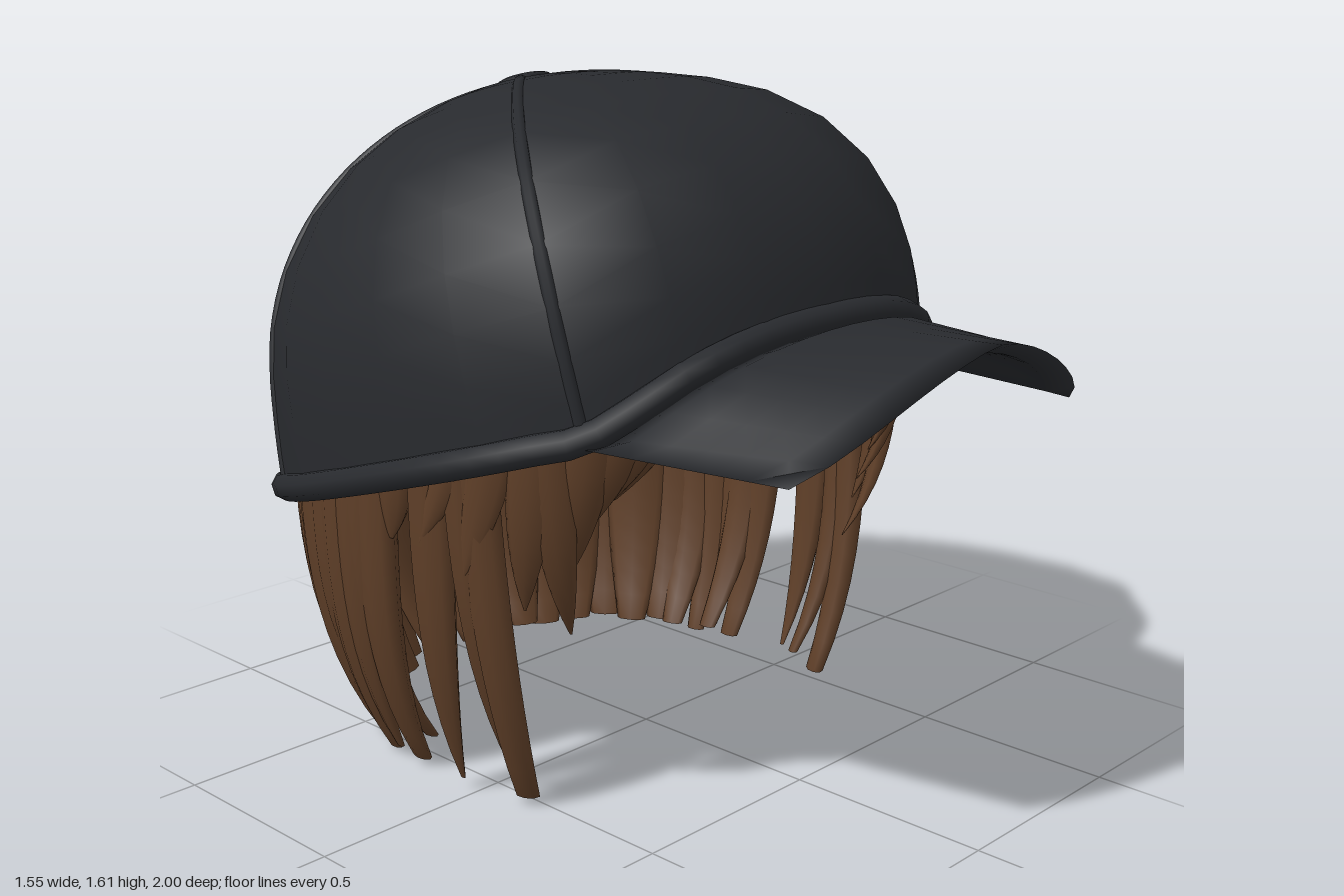
import * as THREE from 'three';
import { ParametricGeometry } from 'three/addons/geometries/ParametricGeometry.js';
import { mergeVertices } from 'three/addons/utils/BufferGeometryUtils.js';

const V = (x, y, z) => new THREE.Vector3(x, y, z);
const CENTER = V(0, 0.9, -0.2);
const BUTTON = V(0, 0.68, -0.22).normalize();
const capMat = new THREE.MeshStandardMaterial({ color: 0x282a2e, side: THREE.DoubleSide });
const hairMat = new THREE.MeshStandardMaterial({ color: 0x5f3f28, side: THREE.DoubleSide });

let seed = 7;
const rnd = () => (seed = (seed * 16807) % 2147483647) / 2147483647;

// Cap body rule: a rounded superellipsoid, fuller and higher at the front, nearly straight below the middle
function field(p) {
  const n = 2.05 + 0.55 * THREE.MathUtils.smoothstep(p.z, -0.3, 0.4);
  const y = p.y > 0 ? (p.y / (0.707 + 0.045 * p.z)) ** n : (p.y / 1.6) ** 2;
  return (Math.abs(p.x) / 0.75) ** n + (Math.abs(p.z) / (p.z > 0 ? 0.77 : 0.79)) ** n + y;
}

// Finds where a path of points leaves the cap body
function hit(pointAt) {
  let lo = 0, hi = 1.5;
  for (let i = 0; i < 30; i++) {
    const mid = (lo + hi) / 2;
    if (field(pointAt(mid)) < 1) lo = mid; else hi = mid;
  }
  return pointAt(lo);
}

// Lower edge of the cap; angle 0 is the front, growing towards +x (relative to CENTER)
const rimHeight = z => 0.93 + (z - 0.41) * (z < 0.41 ? 0.3 : 1.25);
const rim = a => hit(t => {
  const z = Math.cos(a) * t;
  return V(Math.sin(a) * t, rimHeight(z + CENTER.z) - CENTER.y, z);
});

// Point on the cap, v = 0 at the button and 1 at the rim
function capPoint(a, v) {
  const d = BUTTON.clone().lerp(rim(a).normalize(), v).normalize();
  return hit(t => d.clone().multiplyScalar(t)).add(CENTER);
}

// Smooth surface from a rule, welded along its seams
function surface(rule, nu, nv) {
  const g = new ParametricGeometry((u, v, out) => out.copy(rule(u, v)), nu, nv);
  g.deleteAttribute('normal');
  g.deleteAttribute('uv');
  const welded = mergeVertices(g, 1e-5);
  welded.computeVertexNormals();
  return welded;
}

function add(parent, name, geometry, material) {
  const m = new THREE.Mesh(geometry, material);
  m.name = name;
  parent.add(m);
  return m;
}

// Visor: a closed thin cross-section swept from side to side, arched in the middle
function visorPoint(u, v) {
  const s = v * 2 - 1, a = Math.abs(s);
  const inner = rim(s * 0.86).multiplyScalar(0.98).add(CENTER);
  const outer = V(s * 0.5, 1.125 - 0.225 * a ** 1.6, 1 - 0.1 * a * a - 0.04 * a ** 8);
  const p = inner.lerp(outer, u <= 0.5 ? u * 2 : 2 - u * 2);
  if (u === 0 || u > 0.5) p.y -= 0.03 * Math.sqrt(1 - a ** 8);
  return p;
}

// One lock of hair hanging around the head, with an oval cross-section
function lock({ from, to = from, yTop, yBot, width, thick = 0.03, s0 = 0.93, s1 = 0.74, taper = 0.6 }) {
  const top = yTop ?? rim(from).y + CENTER.y + 0.04;
  const rows = 12;
  return surface((u, v) => {
    const t = Math.min(1, v * rows / (rows - 1));
    const a = THREE.MathUtils.lerp(from, to, t ** 1.3);
    const tangent = rim(a + 0.03).sub(rim(a - 0.03)).setY(0).normalize();
    const normal = V(-tangent.z, 0, tangent.x);
    const size = v >= 1 ? 0 : 1 - taper * t ** 2.5;
    const w = u * Math.PI * 2;
    return rim(a).setY(0).multiplyScalar(s0 + (s1 - s0) * t ** 3)
      .addScaledVector(tangent, Math.cos(w) * width / 2 * size)
      .addScaledVector(normal, Math.sin(w) * thick * size)
      .add(V(0, THREE.MathUtils.lerp(top, yBot, t), CENTER.z));
  }, 8, rows);
}

export function createModel() {
  seed = 7;
  const model = new THREE.Group();
  const cap = new THREE.Group();
  cap.name = 'cap';
  const hair = new THREE.Group();
  hair.name = 'hair';
  model.add(cap, hair);

  // Crown and piped edge
  add(cap, 'crown', surface((u, v) => capPoint(-u * Math.PI * 2, v), 24, 12), capMat);
  const edge = [];
  for (let i = 0; i < 48; i++) edge.push(rim(i / 48 * Math.PI * 2).multiplyScalar(0.99).add(CENTER));
  add(cap, 'edgePiping', new THREE.TubeGeometry(new THREE.CatmullRomCurve3(edge, true), 72, 0.035, 8, true), capMat);

  // Soft panel seams, mostly sunk into the crown, and the top button
  for (const a of [0.785, 2.09, Math.PI, -2.09, -0.785]) {
    const pts = [];
    for (let i = 0; i <= 12; i++) {
      const p = capPoint(a, 0.03 + 0.95 * i / 12).sub(CENTER);
      pts.push(p.multiplyScalar(0.987).add(CENTER));
    }
    add(cap, 'panelSeam', new THREE.TubeGeometry(new THREE.CatmullRomCurve3(pts), 32, 0.016, 8), capMat);
  }
  const button = add(cap, 'button', new THREE.SphereGeometry(0.07, 16, 8), capMat);
  button.scale.y = 0.22;
  button.position.copy(capPoint(0, 0));
  button.rotation.x = -0.3;

  add(cap, 'visor', surface(visorPoint, 12, 16), capMat);

  // Long back hair in two overlapping layers, tops rising towards the sides
  const deg = Math.PI / 180;
  for (let i = -8; i <= 8; i++) {
    const outer = i % 2 === 0;
    const a = (180 + i * 8) * deg;
    const yTop = 0.62 + 0.15 * Math.sin(a) ** 2;
    add(hair, outer ? 'backLock' : 'innerBackLock', lock({
      from: a, to: a + (rnd() - 0.5) * 0.08, yTop: yTop + (outer ? 0.02 : 0), yBot: 0.035 * rnd(),
      width: outer ? 0.22 : 0.21, thick: 0.04, s0: outer ? 0.91 : 0.87, s1: (outer ? 0.7 : 0.67) + 0.04 * rnd(), taper: 0.62,
    }), hairMat);
  }

  // Side hair and temple fringe, mirrored: [from, to, bottom, width, taper, s1]
  const sideLocks = [
    [64, 58, 0.02, 0.11, 0.45, 0.76], [74, 74, 0.03, 0.13, 0.9, 0.78], [67, 62, 0.06, 0.1, 0.7, 0.71],
    [83, 84, 0.62, 0.12, 0.9, 0.92],
    [89, 91, 0.02, 0.13, 0.55, 0.74], [96, 98, 0.03, 0.13, 0.8, 0.76], [103, 103, 0.01, 0.13, 0.6, 0.74],
    [93, 95, 0.05, 0.13, 0.6, 0.67], [109, 109, 0.03, 0.17, 0.65, 0.69],
  ];
  const templeLocks = [
    [21, 36, 0.82, 0.12, 0.95, 0.87], [26, 40, 0.76, 0.13, 0.95, 0.87], [31, 44, 0.72, 0.14, 0.95, 0.87],
    [37, 47, 0.66, 0.13, 0.95, 0.86], [44, 48, 0.58, 0.12, 0.95, 0.83], [51, 48, 0.43, 0.11, 0.95, 0.79],
    [53, 56, 0.5, 0.12, 0.95, 0.86], [60, 66, 0.58, 0.12, 0.95, 0.94], [67, 75, 0.64, 0.1, 0.95, 0.95],
  ];
  for (const side of [1, -1]) {
    const build = (name, list, s0, thick) => list.forEach(([from, to, yBot, width, taper, s1]) =>
      add(hair, name, lock({ from: side * from * deg, to: side * to * deg, yBot, width, taper, s0, s1, thick }), hairMat));
    build('sideLock', sideLocks, 0.91, 0.035);
    build('templeLock', templeLocks, 0.93, 0.025);
  }

  // Short forehead fringe at staggered depths: [from, to, bottom, width, depth]
  for (const [from, to, yBot, width, depth] of [
    [-15, -8, 0.91, 0.08, 1.0], [-12, -5, 0.86, 0.1, 0.9], [-6, -3, 0.855, 0.11, 0.94], [-2, 0, 0.86, 0.11, 0.88],
    [3, 4.5, 0.865, 0.09, 0.96], [8, 9.5, 0.87, 0.05, 1.0], [15, 16, 0.85, 0.08, 0.92],
  ]) add(hair, 'fringeLock', lock({
    from: from * deg, to: to * deg, yTop: 1.12, yBot, width, thick: 0.025, s0: 0.95, s1: depth, taper: 0.35,
  }), hairMat);

  return model;
}
